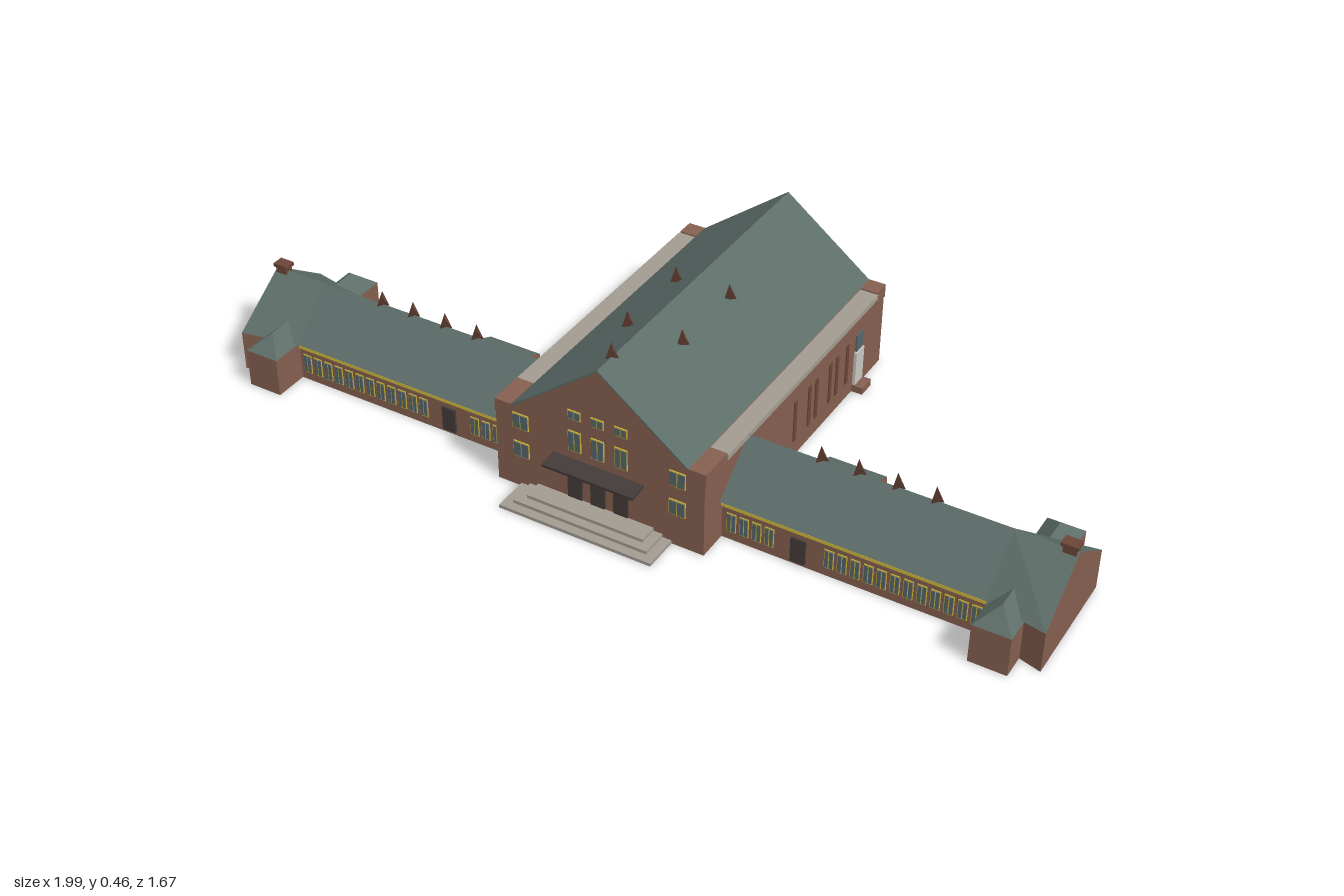
import * as THREE from 'three';
import { ConvexGeometry } from 'three/addons/geometries/ConvexGeometry.js';

const mat = (name, color, side = THREE.FrontSide) =>
  Object.assign(new THREE.MeshStandardMaterial({ color, side }), { name });

export function createModel() {
  const brick = mat('brick', 0x855f50, THREE.DoubleSide);
  const slate = mat('slate roof', 0x5d6d68, THREE.DoubleSide);
  const stone = mat('stone trim', 0xa39b92);
  const pale = mat('pale door', 0xc9c6c0);
  const yellow = mat('yellow frame', 0xd2b93c);
  const glass = mat('window glass', 0x56666a);
  const dark = mat('dark door', 0x433b39);
  const ventMat = mat('vent brown', 0x6b4638);

  const TURN = THREE.MathUtils.degToRad(38);
  const root = new THREE.Group();
  root.name = 'building';
  const site = new THREE.Group();
  site.name = 'turnedBuilding';
  site.rotation.y = -TURN;
  root.add(site);

  const add = (name, geo, m) => {
    const mesh = new THREE.Mesh(geo, m);
    mesh.name = name;
    site.add(mesh);
    return mesh;
  };
  // Box given by its extents on each axis
  const box = (name, m, x0, x1, y0, y1, z0, z1) => {
    const g = new THREE.BoxGeometry(Math.abs(x1 - x0), y1 - y0, Math.abs(z1 - z0));
    g.translate((x0 + x1) / 2, (y0 + y1) / 2, (z0 + z1) / 2);
    return add(name, g, m);
  };
  // Flat faces, each a convex loop of corners
  const faces = (name, m, loops) => {
    const p = [];
    for (const l of loops)
      for (let i = 1; i < l.length - 1; i++) p.push(...l[0], ...l[i], ...l[i + 1]);
    const g = new THREE.BufferGeometry();
    g.setAttribute('position', new THREE.Float32BufferAttribute(p, 3));
    g.computeVertexNormals();
    return add(name, g, m);
  };
  // Two-pane window on a wall facing front or back (dir = +1 or -1)
  const windowAt = (x, y, z, w, h, dir, frame = yellow) => {
    box('windowFrame', frame, x - w / 2, x + w / 2, y - h / 2, y + h / 2, z, z + dir * 0.003);
    for (const s of [-1, 1])
      box('windowPane', glass, x + s * 0.0015, x + s * (w / 2 - 0.002),
        y - h / 2 + 0.003, y + h / 2 - 0.003, z, z + dir * 0.005);
  };
  // Wedge vent: bottom edge crosses the top edge
  const vent = (x, y, z) => {
    const r = 0.016, h = 0.036;
    const pts = [[-r, 0, 0], [r, 0, 0], [0, h, -r], [0, h, r]].map(p => new THREE.Vector3(...p));
    const v = add('roofVent', new ConvexGeometry(pts), ventMat);
    v.position.set(x, y, z);
    v.rotation.y = TURN;
  };

  // Main hall
  const W = 0.293, F = 0.208, B = -0.736, E = 0.235, R = 0.425, RU = 0.248;
  const profile = new THREE.Shape();
  [[-W, 0], [W, 0], [W, E], [RU, E], [0, R], [-RU, E], [-W, E]]
    .forEach(([x, y], i) => (i ? profile.lineTo(x, y) : profile.moveTo(x, y)));
  const hall = new THREE.ExtrudeGeometry(profile, { depth: F - B, bevelEnabled: false });
  hall.translate(0, 0, B);
  add('mainHall', hall, brick);
  const lift = 0.006;
  for (const s of [-1, 1]) {
    faces('mainRoof', slate, [
      [[0, R + lift, F], [0, R + lift, B], [s * RU, E + lift, B], [s * RU, E + lift, F]],
      [[0, R + lift, F], [s * RU, E + lift, F], [s * RU, E, F], [0, R, F]],
      [[0, R + lift, B], [s * RU, E + lift, B], [s * RU, E, B], [0, R, B]],
    ]);
    // Eave ledges and corner shoulders
    box('eaveLedge', stone, s * RU, s * (W + 0.006), E - 0.012, E + 0.003, B + 0.05, F - 0.1);
    box('frontShoulder', brick, s * RU, s * (W + 0.003), E - 0.03, E + 0.007, F - 0.1, F);
    box('backShoulder', brick, s * RU, s * (W + 0.003), E - 0.03, E + 0.007, B, B + 0.05);
    // Narrow side windows
    for (const z of [-0.244, -0.32, -0.358, -0.434, -0.472, -0.53])
      box('sideSlit', ventMat, s * W, s * (W + 0.003), 0.05, 0.17, z - 0.007, z + 0.007);
    // Side door with its hood
    box('sideDoor', pale, s * W, s * (W + 0.008), 0.02, 0.12, -0.617, -0.573);
    box('sideDoorLight', glass, s * W, s * (W + 0.005), 0.122, 0.17, -0.612, -0.578);
    box('sideDoorStep', brick, s * W, s * (W + 0.032), 0, 0.02, -0.62, -0.57);
    // Corner windows, front and back
    for (const y of [0.115, 0.2]) windowAt(s * 0.22, y, F, 0.045, 0.045, 1);
    for (const y of [0.085, 0.165]) windowAt(s * 0.22, y, B, 0.045, 0.045, -1);
  }
  for (const x of [-0.065, 0, 0.065]) {
    windowAt(x, 0.278, F, 0.036, 0.026, 1);
    windowAt(x, 0.2, F, 0.036, 0.06, 1);
    box('frontDoor', dark, x - 0.02, x + 0.02, 0.03, 0.11, F, F + 0.006);
  }
  for (const x of [-0.105, -0.035, 0.035, 0.105]) windowAt(x, 0.1, B, 0.034, 0.06, -1, pale);
  for (const [x, z] of [[-0.077, -0.29], [0.077, -0.29], [-0.077, -0.058], [0.077, -0.058]])
    vent(x, 0.373, z);
  vent(0, R, 0.14);

  // Entrance steps, canopy and rear stoop
  for (let i = 0; i < 3; i++)
    box('entranceStep', stone, -0.225 + i * 0.025, 0.205 - i * 0.025,
      i * 0.009, (i + 1) * 0.009, F, 0.308 - i * 0.024);
  const canopy = box('entranceCanopy', dark, -0.128, 0.128, -0.004, 0.004, 0, 0.052);
  canopy.position.set(0, 0.142, F);
  canopy.rotation.x = 0.1;
  box('rearStoop', brick, -0.14, 0.14, 0, 0.015, B, B - 0.032);

  // Wings, mirrored left and right
  const r = 0.228, e = 0.113, V = 0.135, wall = 0.122, u0 = 0.29, u1 = 0.975, u2 = 1.133, VE = 0.167;
  for (const s of [-1, 1]) {
    // Roof slopes flaring out at the end
    for (const d of [-1, 1]) {
      faces('wingRoof', slate, [
        [[s * u0, r, 0], [s * u1, r, 0], [s * u1, e, d * V], [s * u0, e, d * V]],
        [[s * u1, r, 0], [s * u2, r, 0], [s * u2, e, d * VE], [s * u1, e, d * V]],
      ]);
      faces('wingWall', brick, [
        [[s * u0, 0, d * wall], [s * u1, 0, d * wall], [s * u1, e + 0.009, d * wall], [s * u0, e + 0.009, d * wall]],
        [[s * u1, 0, d * wall], [s * u2, 0, d * VE], [s * u2, e, d * VE], [s * u1, e, d * wall]],
      ]);
      // Corner turret with hipped cap
      const a = s * 0.978, b = s * 1.075, m = (a + b) / 2, ti = d * 0.1, to = d * 0.218;
      const ty = 0.108, tp = 0.15, tm = d * 0.165;
      faces('turretWall', brick, [
        [[a, 0, ti], [a, 0, to], [a, ty, to], [a, ty, ti]],
        [[b, 0, ti], [b, 0, to], [b, ty, to], [b, ty, ti]],
        [[a, 0, to], [b, 0, to], [b, ty, to], [a, ty, to]],
      ]);
      faces('turretRoof', slate, [
        [[a, ty, to], [b, ty, to], [m, tp, tm]],
        [[a, ty, ti], [a, ty, to], [m, tp, tm], [m, tp, ti]],
        [[b, ty, ti], [b, ty, to], [m, tp, tm], [m, tp, ti]],
      ]);
    }
    // End gable and its chimney
    faces('wingGable', brick, [
      [[s * u2, 0, -VE], [s * u2, 0, VE], [s * u2, e, VE], [s * u2, r, 0], [s * u2, e, -VE]],
    ]);
    box('endChimney', ventMat, s * 1.095, s * 1.128, 0.21, 0.24, -0.012, 0.012);
    box('chimneyCap', ventMat, s * 1.09, s * 1.132, 0.238, 0.248, -0.016, 0.016);
    // Rear bay under a continued roof slope
    const p = s * 0.425, q = s * 0.58, bz = -0.182, by = 0.092;
    faces('rearBayRoof', slate, [[[p, e, -V], [q, e, -V], [q, by, bz], [p, by, bz]]]);
    faces('rearBayWall', brick, [
      [[p, 0, bz], [q, 0, bz], [q, by, bz], [p, by, bz]],
      [[p, 0, -wall], [p, 0, bz], [p, by, bz], [p, e, -V], [p, e, -wall]],
      [[q, 0, -wall], [q, 0, bz], [q, by, bz], [q, e, -V], [q, e, -wall]],
    ]);
    // Yellow band, windows and door along the front
    box('eaveBand', yellow, s * u0, s * u1, 0.097, 0.106, wall, wall + 0.006);
    for (let i = 0; i < 12; i++) windowAt(s * (0.58 + i * 0.034), 0.052, wall - 0.001, 0.025, 0.055, 1);
    for (let i = 0; i < 4; i++) windowAt(s * (0.32 + i * 0.034), 0.052, wall - 0.001, 0.025, 0.055, 1);
    box('wingDoor', dark, s * 0.48, s * 0.52, 0.01, 0.08, wall - 0.001, wall + 0.006);
    for (const u of [0.49, 0.588, 0.688, 0.786]) vent(s * u, r - 0.006, 0);
  }
  return root;
}
